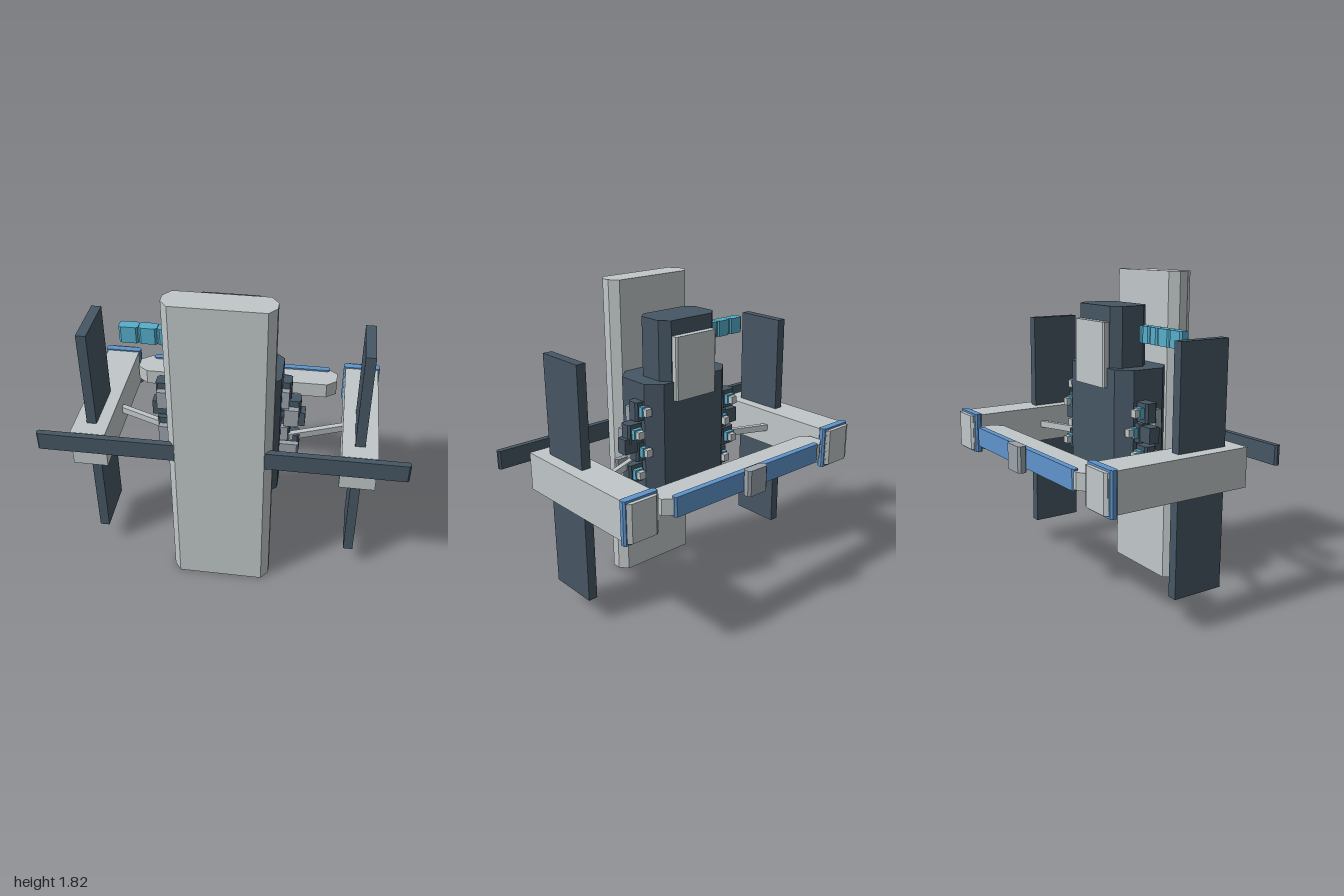
import * as THREE from 'three';

const mat = (name, color) => {
  const m = new THREE.MeshStandardMaterial({ color });
  m.name = name;
  return m;
};

export function createModel() {
  const model = new THREE.Group();
  model.name = 'spaceStation';
  const light = mat('light grey', 0xc1c8c9);
  const mid = mat('mid grey', 0x9ba3ab);
  const dark = mat('dark slate', 0x465664);
  const blue = mat('blue', 0x5f94cc);
  const cyan = mat('cyan', 0x56aecb);

  const add = (name, geometry, material) => {
    const mesh = new THREE.Mesh(geometry, material);
    mesh.name = name;
    model.add(mesh);
    return mesh;
  };
  // Box given by its extents
  const box = (name, material, x0, x1, y0, y1, z0, z1) => {
    const mesh = add(name, new THREE.BoxGeometry(Math.abs(x1 - x0), y1 - y0, z1 - z0), material);
    mesh.position.set((x0 + x1) / 2, (y0 + y1) / 2, (z0 + z1) / 2);
    return mesh;
  };
  // Upright prism with chamfered corners: cx along x, cz along z
  const prism = (name, material, x0, x1, y0, y1, z0, z1, cx, cz) => {
    const outline = [
      [x0 + cx, z0], [x1 - cx, z0], [x1, z0 + cz], [x1, z1 - cz],
      [x1 - cx, z1], [x0 + cx, z1], [x0, z1 - cz], [x0, z0 + cz],
    ].map(([x, z]) => new THREE.Vector2(x, -z));
    const g = new THREE.ExtrudeGeometry(new THREE.Shape(outline), { depth: y1 - y0, bevelEnabled: false });
    g.rotateX(-Math.PI / 2).translate(0, y0, 0);
    return add(name, g, material);
  };

  // Front slab and the long cross bar
  prism('frontSlab', light, -0.28, 0.28, 0, 1.815, 0.357, 0.51, 0.04, 0.05);
  prism('crossBar', dark, -1, 1, 0.86, 0.965, 0.473, 0.507, 0.01, 0.01);

  // Central core with its narrower upper block
  prism('core', dark, -0.3, 0.3, 0.53, 1.29, 0.01, 0.357, 0.08, 0.075);
  prism('upperCore', dark, -0.2, 0.2, 1.29, 1.63, 0.025, 0.268, 0.05, 0.05);
  prism('backPanel', light, -0.148, 0.148, 1.18, 1.545, -0.015, 0.03, 0.01, 0.008);
  prism('bottomHatch', dark, -0.06, 0.06, 0.522, 0.53, 0.14, 0.21, 0.02, 0.02);

  // Segmented boom
  [-0.56, -0.455, -0.355, -0.285, -0.215].forEach((x, i, xs) => {
    const end = i < xs.length - 1 ? xs[i + 1] - 0.002 : -0.14;
    prism('boomSegment', cyan, x, end, 1.425, 1.52, 0.192, 0.252, 0.012, 0.01);
  });
  box('boomCore', cyan, -0.54, -0.15, 1.43, 1.515, 0.2, 0.244);

  for (const s of [-1, 1]) {
    // Side arm with blue collar, end cap and vertical fin
    box('sideArm', light, s * 0.642, s * 0.837, 0.71, 0.93, -0.4, 0.43);
    prism('armCollar', blue, s * 0.74 - 0.108, s * 0.74 + 0.108, 0.697, 0.938, -0.435, -0.393, 0.01, 0.01);
    prism('armCap', light, s * 0.74 - 0.096, s * 0.74 + 0.096, 0.712, 0.926, -0.457, -0.43, 0.02, 0.018);
    box('fin', dark, s * 0.711, s * 0.766, 0.14, 1.5, 0.03, 0.338);

    // Slanted strut between arm and core
    const strut = box('strut', light, -0.17, 0.17, 0.8, 0.84, -0.015, 0.015);
    strut.position.set(s * 0.5, 0.82, 0.1);
    strut.rotation.y = s * Math.atan2(0.095, 0.24);
    box('strutMount', dark, s * 0.29, s * 0.43, 0.9, 0.99, 0.1, 0.165);

    // Staggered docking modules with cyan rings and light nozzles
    const top = s > 0 ? 1.135 : 1.065;
    for (let i = 0; i < 4; i++) {
      const y = top - i * 0.12;
      const outer = (i % 2 === 1) === (s > 0);
      const x = s * (outer ? 0.355 : 0.3);
      prism('module', dark, x - 0.05, x + 0.05, y - 0.055, y + 0.055, 0.095, 0.17, 0.012, 0.012);
      box('moduleRing', cyan, x - 0.03, x + 0.03, y - 0.03, y + 0.03, 0.07, 0.1);
      box('moduleNozzle', light, x - 0.02, x + 0.02, y - 0.022, y + 0.022, 0.042, 0.072);
      box('moduleFace', mid, x - 0.04, x + 0.04, y - 0.095, y + 0.015, 0.165, 0.205);
    }
  }
  prism('sidePod', mid, 0.28, 0.405, 0.73, 0.83, 0.218, 0.25, 0.01, 0.01);

  // Rear beam with blue strip and central block
  prism('rearBeam', light, -0.632, 0.597, 0.775, 0.868, -0.458, -0.29, 0.06, 0.045);
  prism('rearStrip', blue, -0.552, 0.547, 0.765, 0.878, -0.464, -0.428, 0.01, 0.01);
  prism('rearBlock', mid, -0.075, 0.07, 0.745, 0.895, -0.513, -0.46, 0.015, 0.012);

  return model;
}
